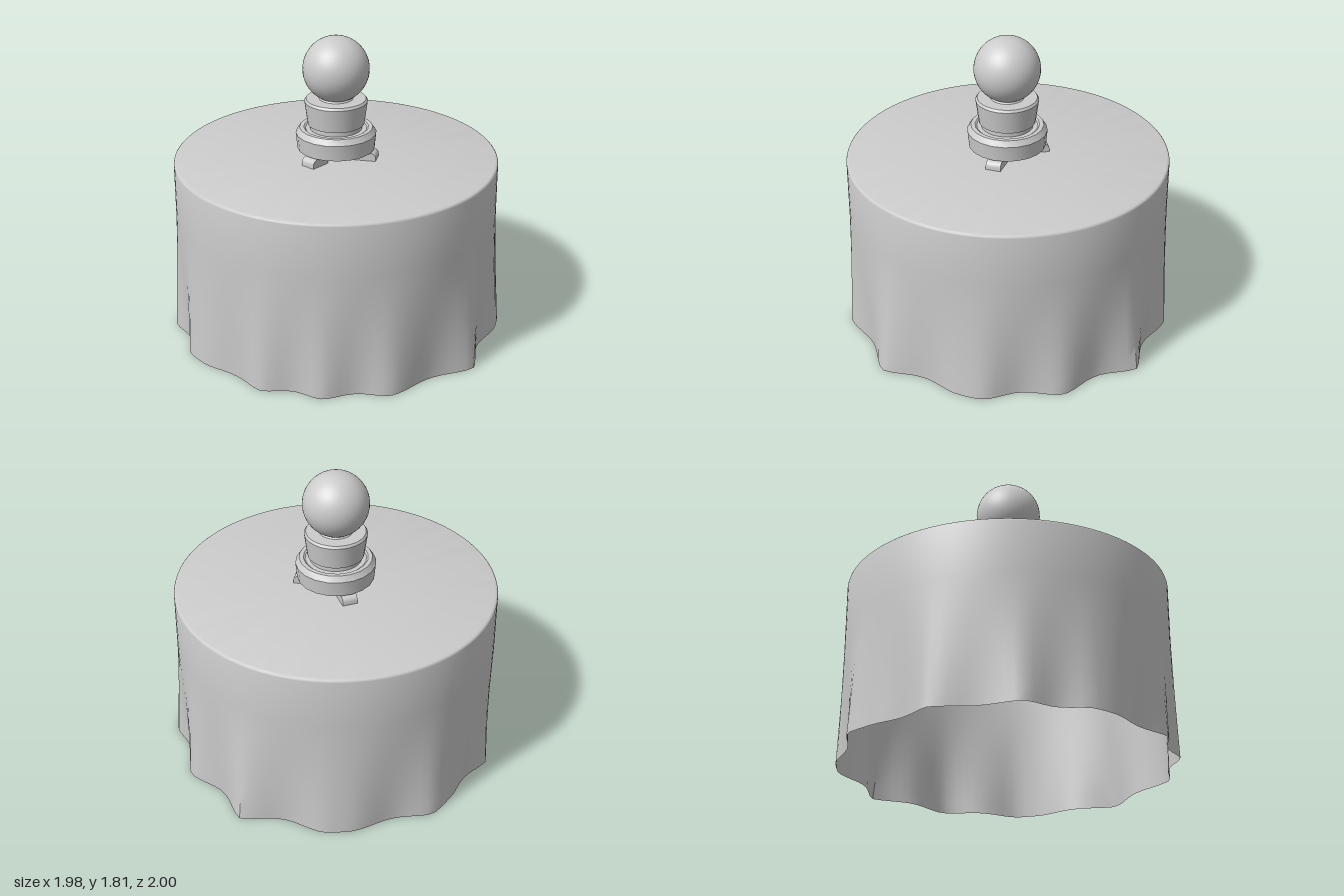
import * as THREE from 'three';
import { toCreasedNormals } from 'three/addons/utils/BufferGeometryUtils.js';

const CX = -0.03, CZ = 0.025, R = 0.953, TOP = 1.073;
const material = new THREE.MeshStandardMaterial({ color: 0xcccccc });
const clothMaterial = new THREE.MeshStandardMaterial({ color: 0xcccccc, side: THREE.DoubleSide });

// Outward fold tips of the hem: [angle in degrees from +x towards +z, radius]
const folds = [
  [-87, 1.027], [-58, 0.99], [-31, 0.997], [-24, 0.983], [6.5, 1.022], [40, 0.985],
  [62.5, 0.975], [83.5, 0.98], [111, 0.968], [119, 0.98], [141, 0.985], [171, 0.982],
  [196, 0.963], [205, 1.0], [235, 0.975], [243, 0.984], [273, 1.027],
];

// Hem radius: straight between close tips, dipping to a valley between distant ones
function hemRadius(deg) {
  const i = folds.findIndex((f, k) => k < folds.length - 1 && deg >= f[0] && deg < folds[k + 1][0]);
  const [a, ra] = folds[i], [b, rb] = folds[i + 1];
  const t = (deg - a) / (b - a);
  const r = THREE.MathUtils.lerp(ra, rb, t);
  if (b - a < 12) return r;
  return r + (0.922 - r) * Math.pow(Math.sin(Math.PI * t), 1.4);
}

// Draped cloth: open wavy skirt, rounded rim and flat top in one surface
function clothGeometry() {
  const N = 120, positions = [], index = [];
  const rings = []; // [y, inset from the side wall]
  for (let k = 0; k <= 10; k++) rings.push([k * 0.075, 0]);
  rings.push([TOP - 0.016, 0], [TOP - 0.008, 0.002], [TOP - 0.002, 0.008], [TOP, 0.016]);
  for (const [y, inset] of rings) {
    const flare = Math.pow(Math.max(0, 1 - y / 0.75), 1.4);
    for (let i = 0; i < N; i++) {
      const deg = -87 + (i * 360) / N, a = THREE.MathUtils.degToRad(deg);
      const r = R - inset + (hemRadius(deg) - R) * flare;
      positions.push(CX + r * Math.cos(a), y, CZ + r * Math.sin(a));
    }
  }
  for (let j = 0; j < rings.length - 1; j++) {
    for (let i = 0; i < N; i++) {
      const n = (i + 1) % N;
      const a = j * N + i, b = j * N + n, c = a + N, d = b + N;
      index.push(a, c, b, b, c, d);
    }
  }
  // Close the top with a fan
  const centre = positions.length / 3, last = (rings.length - 1) * N;
  positions.push(CX, TOP, CZ);
  for (let i = 0; i < N; i++) index.push(last + i, centre, last + ((i + 1) % N));
  const g = new THREE.BufferGeometry();
  g.setAttribute('position', new THREE.Float32BufferAttribute(positions, 3));
  g.setIndex(index);
  return toCreasedNormals(g, 0.7);
}

function lathe(points, segments) {
  const g = new THREE.LatheGeometry(points.map(([r, y]) => new THREE.Vector2(r, y)), segments);
  return toCreasedNormals(g, 0.5);
}

// Foot: side profile with a rounded outer shoulder, extruded across its width
function footGeometry() {
  const s = new THREE.Shape();
  s.moveTo(0.12, 0);
  s.lineTo(0.245, 0);
  s.lineTo(0.245, 0.025);
  s.quadraticCurveTo(0.24, 0.045, 0.215, 0.05);
  s.lineTo(0.2, 0.065);
  s.lineTo(0.12, 0.065);
  s.closePath();
  const g = new THREE.ExtrudeGeometry(s, { depth: 0.09, bevelEnabled: false, curveSegments: 4 });
  g.translate(0, 0, -0.045);
  return toCreasedNormals(g, 0.5);
}

export function createModel() {
  const model = new THREE.Group();
  model.name = 'coveredTableWithBall';
  const add = (parent, name, geometry, mat = material) => {
    const mesh = new THREE.Mesh(geometry, mat);
    mesh.name = name;
    parent.add(mesh);
    return mesh;
  };

  add(model, 'tablecloth', clothGeometry(), clothMaterial);

  // Ball stand in the middle of the table
  const stand = new THREE.Group();
  stand.name = 'ballStand';
  stand.position.set(CX + 0.003, 0, CZ + 0.003);
  model.add(stand);

  const foot = footGeometry();
  for (const deg of [100, 220, 340]) {
    const mesh = add(stand, 'foot', foot);
    mesh.position.y = TOP;
    mesh.rotation.y = -THREE.MathUtils.degToRad(deg);
  }

  add(stand, 'baseRing', lathe([
    [0, 1.13], [0.228, 1.13], [0.237, 1.225], [0.215, 1.258], [0.19, 1.258], [0.18, 1.25], [0, 1.25],
  ], 20));
  add(stand, 'cup', lathe([
    [0.152, 1.245], [0.152, 1.275], [0.166, 1.28], [0.185, 1.42], [0.175, 1.434],
    [0.1, 1.434], [0.09, 1.45], [0, 1.45],
  ], 32));

  const ball = add(stand, 'ball', new THREE.SphereGeometry(0.194, 40, 28));
  ball.position.y = 1.613;

  return model;
}
